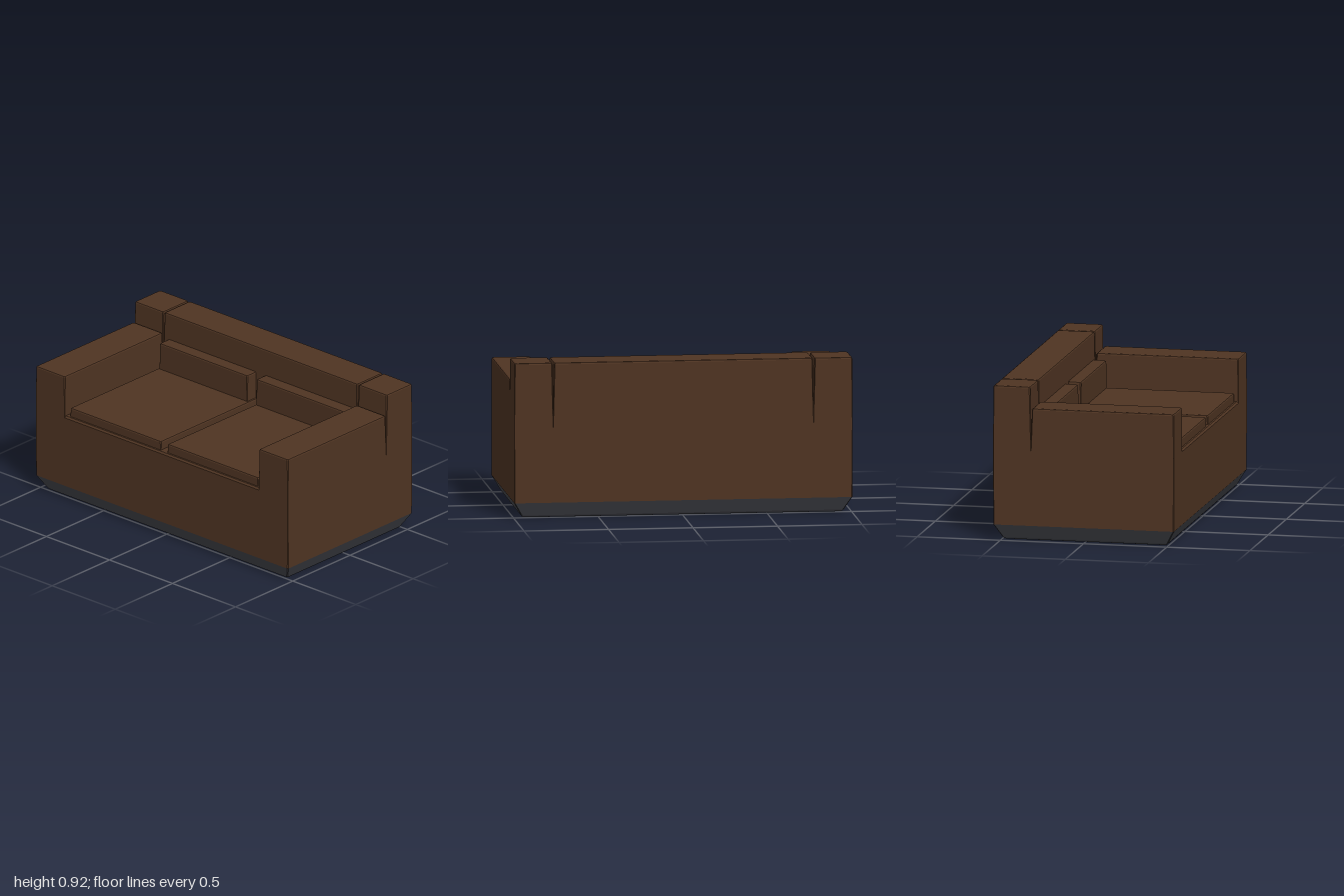
import * as THREE from 'three';

const brown = new THREE.MeshStandardMaterial({ color: 0x4f3422 });
brown.name = 'brown upholstery';
const grey = new THREE.MeshStandardMaterial({ color: 0x45464c });
grey.name = 'dark grey plinth';

// Lofts chamfered rectangles, bottom to top: [y, x0, x1, z0, z1, chamfer]
function loft(layers) {
  const pos = [], idx = [];
  for (const [y, x0, x1, z0, z1, c] of layers) {
    const ring = [
      [x1, z1 - c], [x1, z0 + c], [x1 - c, z0], [x0 + c, z0],
      [x0, z0 + c], [x0, z1 - c], [x0 + c, z1], [x1 - c, z1],
    ];
    for (const [x, z] of ring) pos.push(x, y, z);
  }
  const last = (layers.length - 1) * 8;
  for (let r = 0; r < last; r += 8) {
    for (let i = 0; i < 8; i++) {
      const a = r + i, b = r + (i + 1) % 8;
      idx.push(a, b, b + 8, a, b + 8, a + 8);
    }
  }
  for (let i = 1; i < 7; i++) idx.push(0, i + 1, i, last, last + i, last + i + 1);
  const indexed = new THREE.BufferGeometry();
  indexed.setAttribute('position', new THREE.Float32BufferAttribute(pos, 3));
  indexed.setIndex(idx);
  const geo = indexed.toNonIndexed();
  geo.computeVertexNormals();
  return geo;
}

// Upholstered block with a bevelled top; seam = inset at the top of [x0, x1, z0, z1]
function block(x0, x1, y0, y1, z0, z1, seam = [0, 0, 0, 0], bevel = 0.01) {
  const [a, b, c, d] = seam;
  const X0 = x0 + a, X1 = x1 - b, Z0 = z0 + c, Z1 = z1 - d;
  return loft([
    [y0, x0, x1, z0, z1, 0.001],
    [y1 - bevel, X0, X1, Z0, Z1, 0.006],
    [y1 - bevel * 0.3, X0 + bevel * 0.3, X1 - bevel * 0.3, Z0 + bevel * 0.3, Z1 - bevel * 0.3, 0.006],
    [y1, X0 + bevel, X1 - bevel, Z0 + bevel, Z1 - bevel, 0.006],
  ]);
}

export function createModel() {
  const sofa = new THREE.Group();
  sofa.name = 'sofa';
  const add = (name, geo, mat = brown) => {
    const mesh = new THREE.Mesh(geo, mat);
    mesh.name = name;
    sofa.add(mesh);
    return mesh;
  };

  const D = 0.543;     // half depth
  const SEAM_X = 0.77; // seam between arm and seat
  const SEAM_Z = -0.316; // seam between arm and back
  const SEAT = 0.54;   // top of the lower body
  const g = 0.005;     // half width of the seam at its top

  // Plinth flaring outwards from the floor
  const flare = (y, inset, c) => [y, -1 + inset, 1 - inset, -D + inset, D - inset, c];
  add('plinth', loft([flare(0, 0.064, 0.004), flare(0.004, 0.053, 0.005),
    flare(0.013, 0.046, 0.006), flare(0.093, 0, 0.005)]), grey);

  // Lower body, with a soft front edge between the arms
  add('lowerBody', loft([
    [0.093, -1, 1, -D, D, 0.005],
    [SEAT - 0.01, -1, 1, -D, D, 0.001],
    [SEAT, -1, 1, -D, D - 0.01, 0.001],
  ]));

  // Central backrest
  add('backrest', block(-SEAM_X, SEAM_X, SEAT, 0.924, -D, SEAM_Z, [g, g, 0, g]));

  for (const s of [1, -1]) {
    const side = s > 0 ? 'left' : 'right';
    // x range and seam insets mirrored for each side
    const span = (a, b) => (s > 0 ? [a, b] : [-b, -a]);
    const inner = s > 0 ? [g, 0] : [0, g];
    const [ax0, ax1] = span(SEAM_X, 1);
    add(side + 'Arm', block(ax0, ax1, SEAT - 0.01, 0.795, SEAM_Z, D, [0, 0, g, 0]));
    add(side + 'BackCorner', block(ax0, ax1, SEAT, 0.924, -D, SEAM_Z, [...inner, 0, g]));

    const [cx0, cx1] = span(0.026, 0.745);
    add(side + 'SeatCushion', block(cx0, cx1, SEAT - 0.01, 0.596, -0.33, 0.522));

    const [bx0, bx1] = span(0.036, 0.732);
    add(side + 'BackCushion', block(bx0, bx1, 0.58, 0.762, -0.34, -0.242));
  }
  return sofa;
}
